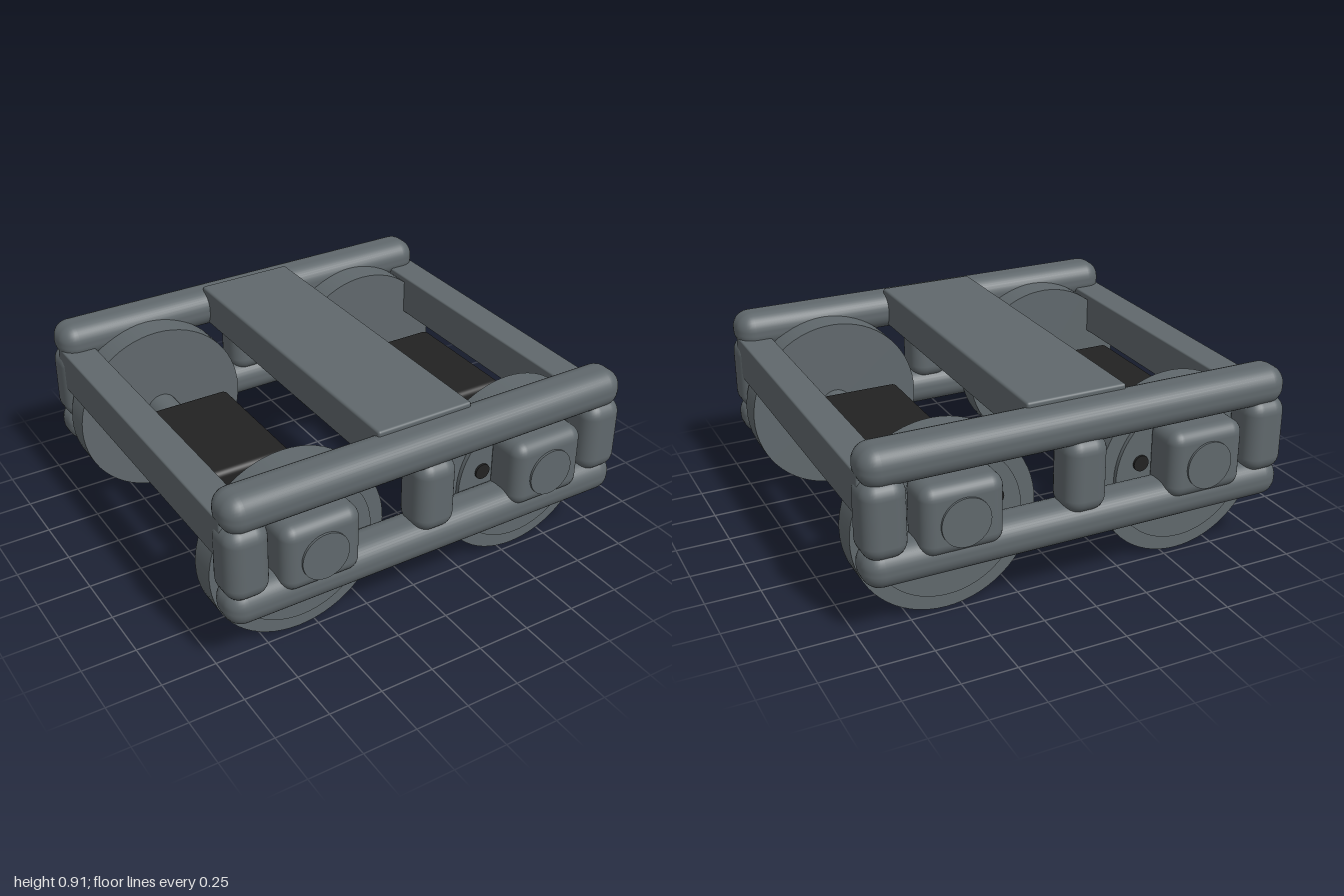
import * as THREE from 'three';
import { RoundedBoxGeometry } from 'three/addons/geometries/RoundedBoxGeometry.js';

export function createModel() {
  const truck = new THREE.Group();
  truck.name = 'railTruck';

  const steel = new THREE.MeshStandardMaterial({ color: 0x60686c });
  steel.name = 'grey steel';
  const black = new THREE.MeshStandardMaterial({ color: 0x222222 });
  black.name = 'black';

  // Rounded block given by its extents along each axis
  function block(name, [x0, x1], [y0, y1], [z0, z1], radius, material = steel) {
    const geo = new RoundedBoxGeometry(x1 - x0, y1 - y0, z1 - z0, 4, radius);
    const mesh = new THREE.Mesh(geo, material);
    mesh.position.set((x0 + x1) / 2, (y0 + y1) / 2, (z0 + z1) / 2);
    mesh.name = name;
    truck.add(mesh);
  }

  // Cylinder lying along z
  function disc(name, x, y, z0, z1, radius, material = steel, sides = 64) {
    const geo = new THREE.CylinderGeometry(radius, radius, Math.abs(z1 - z0), sides);
    geo.rotateX(Math.PI / 2);
    const mesh = new THREE.Mesh(geo, material);
    mesh.position.set(x, y, (z0 + z1) / 2);
    mesh.name = name;
    truck.add(mesh);
  }

  const axleX = 0.577;
  const axleY = 0.418;
  const span = (a, b, s) => (s > 0 ? [a, b] : [-b, -a]);

  // Side frames, wheels and bearings, mirrored front and back
  for (const s of [1, -1]) {
    const railZ = span(0.715, 0.915, s);
    block('topRail', [-0.995, 0.995], [0.71, 0.888], railZ, 0.08);
    block('bottomRail', [-0.995, 0.995], [0.263, 0.44], railZ, 0.08);
    for (const x of [-0.9, 0, 0.9]) {
      block('framePost', [x - 0.098, x + 0.098], [0.4, 0.75], span(0.72, 0.922, s), 0.07);
    }

    for (const x of [-axleX, axleX]) {
      disc('wheel', x, axleY, s * 0.595, s * 0.72, 0.418);
      disc('wheelHubPlate', x, axleY, s * 0.71, s * 0.74, 0.345);
      // Five dark bolts around the hub
      for (let i = 0; i < 5; i++) {
        const a = Math.PI / 2 + (i * Math.PI * 2) / 5;
        disc('wheelBolt', x + 0.235 * Math.cos(a), axleY + 0.235 * Math.sin(a),
          s * 0.73, s * 0.75, 0.037, black, 24);
      }
      block('axleBox', [x - 0.184, x + 0.184], [0.373, 0.69], span(0.72, 0.935, s), 0.06);
      disc('bearingCap', x, 0.52, s * 0.9, s * 0.945, 0.11);
    }
  }

  // Axles with their motors
  for (const x of [-axleX, axleX]) {
    disc('axle', x, axleY, -0.65, 0.65, 0.077, steel, 32);
    block('motor', [x - 0.208, x + 0.208], [0.315, 0.61], [-0.312, 0.312], 0.03, black);
  }

  // End beams and the cross bolster
  for (const s of [1, -1]) {
    block('endBeam', span(0.84, 0.99, s), [0.57, 0.77], [-0.82, 0.82], 0.008);
  }
  block('bolster', [-0.234, 0.234], [0.73, 0.91], [-0.79, 0.79], 0.012);

  return truck;
}
